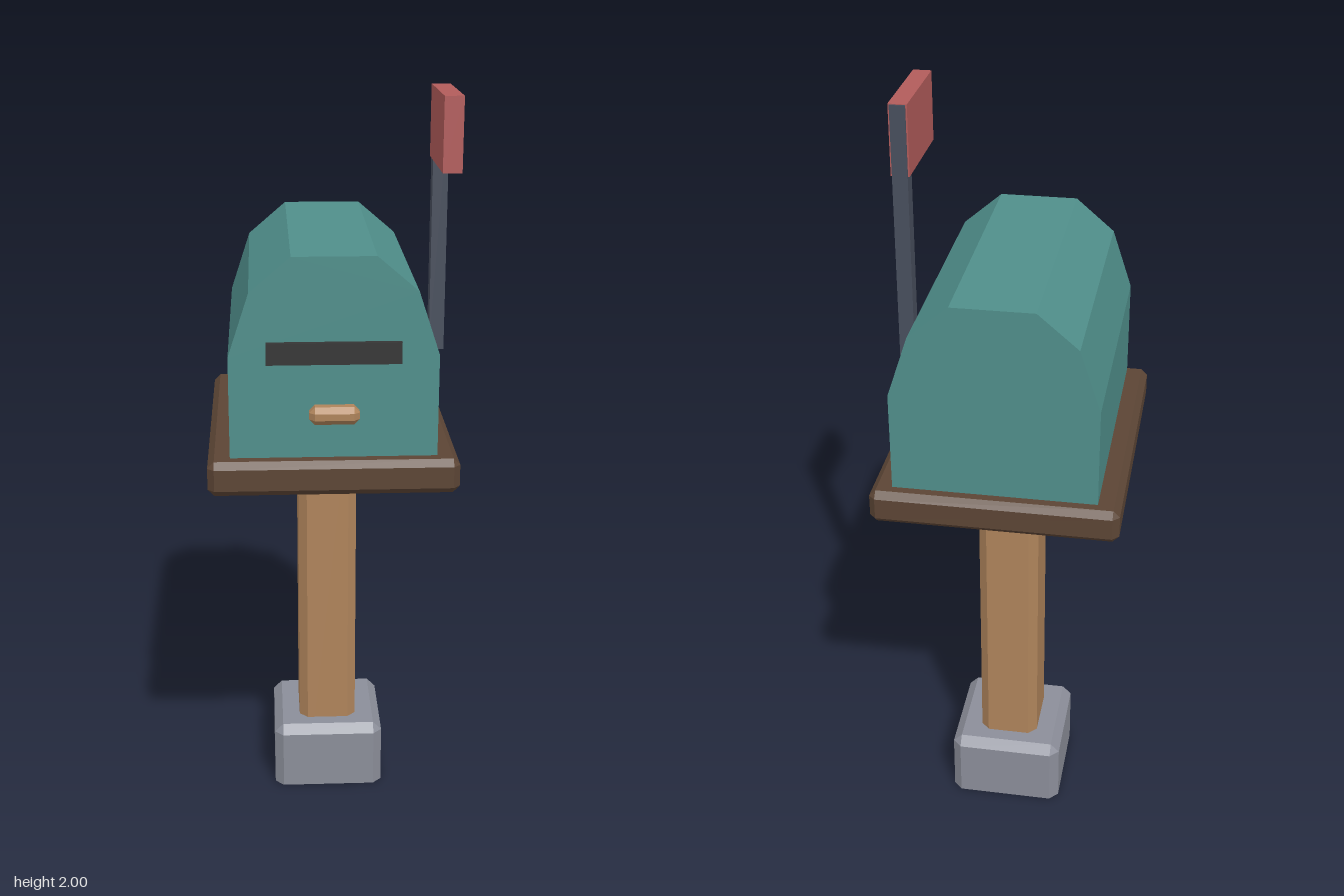
import * as THREE from 'three';

const mat = (name, color, side = THREE.FrontSide) => {
  const m = new THREE.MeshStandardMaterial({ color, side });
  m.name = name;
  m.flatShading = true;
  return m;
};

// Box with chamfered edges, built from eight-sided rings stacked in y.
// bevelBottom / bevelTop chamfer the ends; openBottom leaves the underside off.
function chamferBox([x0, x1], [y0, y1], [z0, z1], c, { bevelBottom = true, bevelTop = true, openBottom = false } = {}) {
  const cx = (x0 + x1) / 2, cz = (z0 + z1) / 2, hx = (x1 - x0) / 2, hz = (z1 - z0) / 2;
  const ring = (y, i) => [
    [hx - i, hz - c], [hx - c, hz - i], [c - hx, hz - i], [i - hx, hz - c],
    [i - hx, c - hz], [c - hx, i - hz], [hx - c, i - hz], [hx - i, c - hz],
  ].map(([x, z]) => new THREE.Vector3(cx + x, y, cz + z));

  const rings = [];
  if (bevelBottom) rings.push(ring(y0, c), ring(y0 + c, 0));
  else rings.push(ring(y0, 0));
  if (bevelTop) rings.push(ring(y1 - c, 0), ring(y1, c));
  else rings.push(ring(y1, 0));

  const pos = [];
  const tri = (a, b, d) => {
    if (new THREE.Triangle(a, b, d).getArea() > 1e-8) pos.push(...a, ...b, ...d);
  };
  const low = new THREE.Vector3(cx, y0, cz), high = new THREE.Vector3(cx, y1, cz);
  const last = rings.length - 1;
  for (let i = 0; i < 8; i++) {
    const j = (i + 1) % 8;
    for (let r = 0; r < last; r++) {
      const [a, b, a2, b2] = [rings[r][i], rings[r][j], rings[r + 1][i], rings[r + 1][j]];
      tri(a, a2, b);
      tri(b, a2, b2);
    }
    tri(high, rings[last][j], rings[last][i]);
    if (!openBottom) tri(low, rings[0][i], rings[0][j]);
  }
  const g = new THREE.BufferGeometry();
  g.setAttribute('position', new THREE.Float32BufferAttribute(pos, 3));
  g.computeVertexNormals();
  return g;
}

// Plain box given by its extents
function plainBox([x0, x1], [y0, y1], [z0, z1]) {
  return new THREE.BoxGeometry(x1 - x0, y1 - y0, z1 - z0)
    .translate((x0 + x1) / 2, (y0 + y1) / 2, (z0 + z1) / 2);
}

export function createModel() {
  const group = new THREE.Group();
  group.name = 'mailbox';

  const stone = mat('stone grey', 0x8b8e99, THREE.DoubleSide);
  const wood = mat('light wood', 0xaf845b);
  const darkWood = mat('dark wood', 0x5c4535);
  const teal = mat('teal', 0x508f8b);
  const black = mat('slot black', 0x353535);
  const steel = mat('dark steel', 0x484f5d);
  const red = mat('flag red', 0xb25c5b);

  const add = (name, geometry, material) => {
    const mesh = new THREE.Mesh(geometry, material);
    mesh.name = name;
    group.add(mesh);
  };

  // Footing, hollow underneath, with the post standing in it
  add('footing', chamferBox([-0.155, 0.155], [0, 0.19], [-0.253, 0.057], 0.024,
    { bevelBottom: false, openBottom: true }), stone);
  add('post', chamferBox([-0.081, 0.081], [0, 1.13], [-0.191, -0.004], 0.023,
    { bevelBottom: false, bevelTop: false }), wood);

  // Platform board
  add('platform', chamferBox([-0.317, 0.317], [1.035, 1.125], [-0.415, 0.375], 0.017), darkWood);

  // Faceted arched body
  const half = [[0.26, 1.13], [0.26, 1.39], [0.207, 1.55], [0.104, 1.638]];
  const outline = [...half, ...half.map(([x, y]) => [-x, y]).reverse()];
  const body = new THREE.ExtrudeGeometry(
    new THREE.Shape(outline.map(([x, y]) => new THREE.Vector2(x, y))),
    { depth: 0.728, bevelEnabled: false });
  add('body', body.translate(0, 0, -0.383), teal);

  // Letter slot and door pull
  add('letterSlot', plainBox([-0.167, 0.166], [1.374, 1.428], [0.34, 0.362]), black);
  add('doorPull', chamferBox([-0.063, 0.061], [1.233, 1.278], [0.363, 0.413], 0.014), wood);

  // Signal flag on its pole
  add('flagPole', plainBox([0.271, 0.311], [1.308, 1.998], [-0.04, 0.003]), steel);
  add('flag', plainBox([0.267, 0.315], [1.817, 2], [-0.036, 0.246]), red);

  return group;
}
